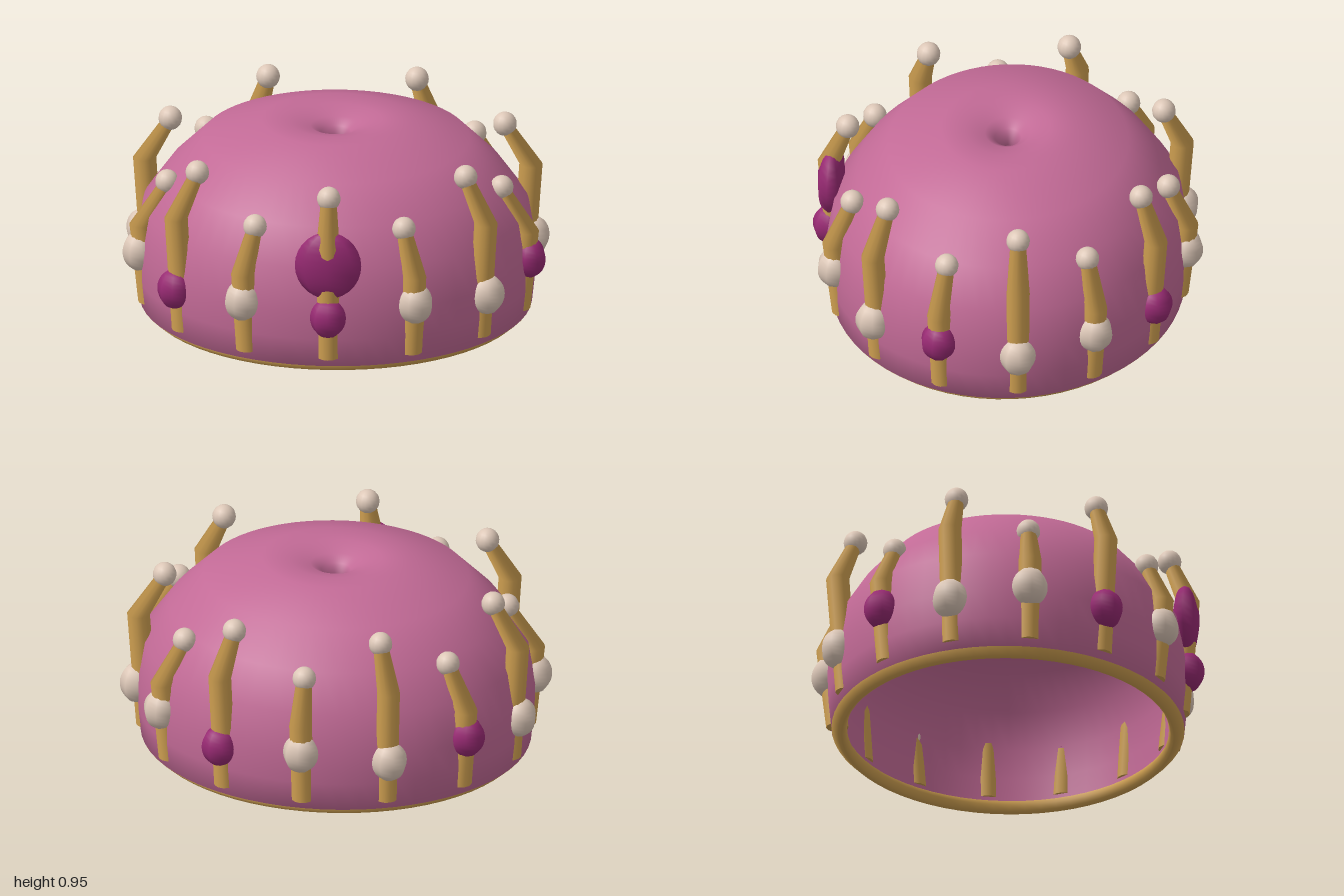
import * as THREE from 'three';

const mat = (name, color, side = THREE.FrontSide) => {
  const m = new THREE.MeshStandardMaterial({ color, side });
  m.name = name;
  return m;
};

const points = (list) => list.map(([x, y]) => new THREE.Vector2(x, y));

export function createModel() {
  const pink = mat('rose pink', 0xc26a96, THREE.DoubleSide);
  const gold = mat('old gold', 0xcd9e50);
  const goldBand = gold;
  const beige = mat('pale beige', 0xdcc7b7);
  const magenta = mat('deep magenta', 0x982a73);

  const model = new THREE.Group();
  model.name = 'jewelledCap';
  const add = (name, geometry, material, parent = model) => {
    const mesh = new THREE.Mesh(geometry, material);
    mesh.name = name;
    parent.add(mesh);
    return mesh;
  };

  // Oval double-walled shell with a dimple and a small hole in the top
  const profile = points([
    [0.86, 0.04], [0.925, 0.04], [0.94, 0.18], [0.945, 0.32], [0.91, 0.53], [0.79, 0.7],
    [0.63, 0.86], [0.35, 0.95], [0.22, 0.945], [0.12, 0.92], [0.07, 0.89], [0.03, 0.82],
    [0.09, 0.835], [0.32, 0.89], [0.59, 0.81], [0.74, 0.665], [0.84, 0.51], [0.868, 0.33],
    [0.865, 0.18], [0.855, 0.04],
  ]);
  add('capShell', new THREE.LatheGeometry(profile, 64), pink).scale.z = 0.9;

  // Bevelled band around the bottom edge
  const bandProfile = points([
    [0.855, 0.06], [0.842, 0.035], [0.855, 0.008], [0.87, 0], [0.888, 0.006], [0.924, 0.038], [0.9, 0.06],
  ]);
  add('bottomBand', new THREE.LatheGeometry(bandProfile, 64), goldBand).scale.z = 0.9;

  // Tapered prong bent inward, as rings [rx, rz, y, radius] on the cap's oval
  const prongGeometry = (angle, rings) => {
    const n = rings.length - 1;
    const g = new THREE.CylinderGeometry(1, 1, 1, 12, n);
    const p = g.attributes.position;
    for (let i = 0; i < p.count; i++) {
      const [rx, rz, y, r] = rings[Math.round((p.getY(i) + 0.5) * n)];
      p.setXYZ(i, Math.sin(angle) * rx + p.getX(i) * r, y, Math.cos(angle) * rz + p.getZ(i) * r);
    }
    // The untouched cylinder normals stay radial, so the stem is smooth all round
    return g;
  };

  // Fourteen prongs, alternately tall and short, each with a bead and a tip ball
  const ball = new THREE.SphereGeometry(1, 16, 12);
  const bead = new THREE.SphereGeometry(1, 8, 14);
  const COUNT = 14;
  for (let i = 0; i < COUNT; i++) {
    const angle = (i / COUNT) * Math.PI * 2;
    const tall = i % 2 === 0;
    const bendY = tall ? 0.66 : 0.48;
    const tipY = tall ? 0.87 : 0.69;
    const prong = new THREE.Group();
    prong.name = tall ? 'tallProng' : 'shortProng';
    model.add(prong);

    const place = (name, geometry, material, rx, rz, y, sx, sy, sz) => {
      const m = add(name, geometry, material, prong);
      m.position.set(Math.sin(angle) * rx, y, Math.cos(angle) * rz);
      m.rotation.y = angle;
      m.scale.set(sx, sy, sz);
    };

    add('prongStem', prongGeometry(angle, [
      [0.895, 0.808, 0.08, 0.053],
      [0.935, 0.853, bendY, 0.055],
      [0.815, 0.77, tipY - 0.01, 0.037],
    ]), gold, prong);
    place('tipBall', ball, beige, 0.81, 0.765, tipY, 0.056, 0.058, 0.056);
    place('stemBead', bead, i % 3 === 0 ? magenta : beige, 0.945, 0.852, tall ? 0.295 : 0.34, 0.085, 0.097, 0.079);
    // Large front jewel
    if (i === 0) place('frontJewel', bead, magenta, 0, 0.842, 0.56, 0.157, 0.17, 0.065);
  }

  return model;
}
